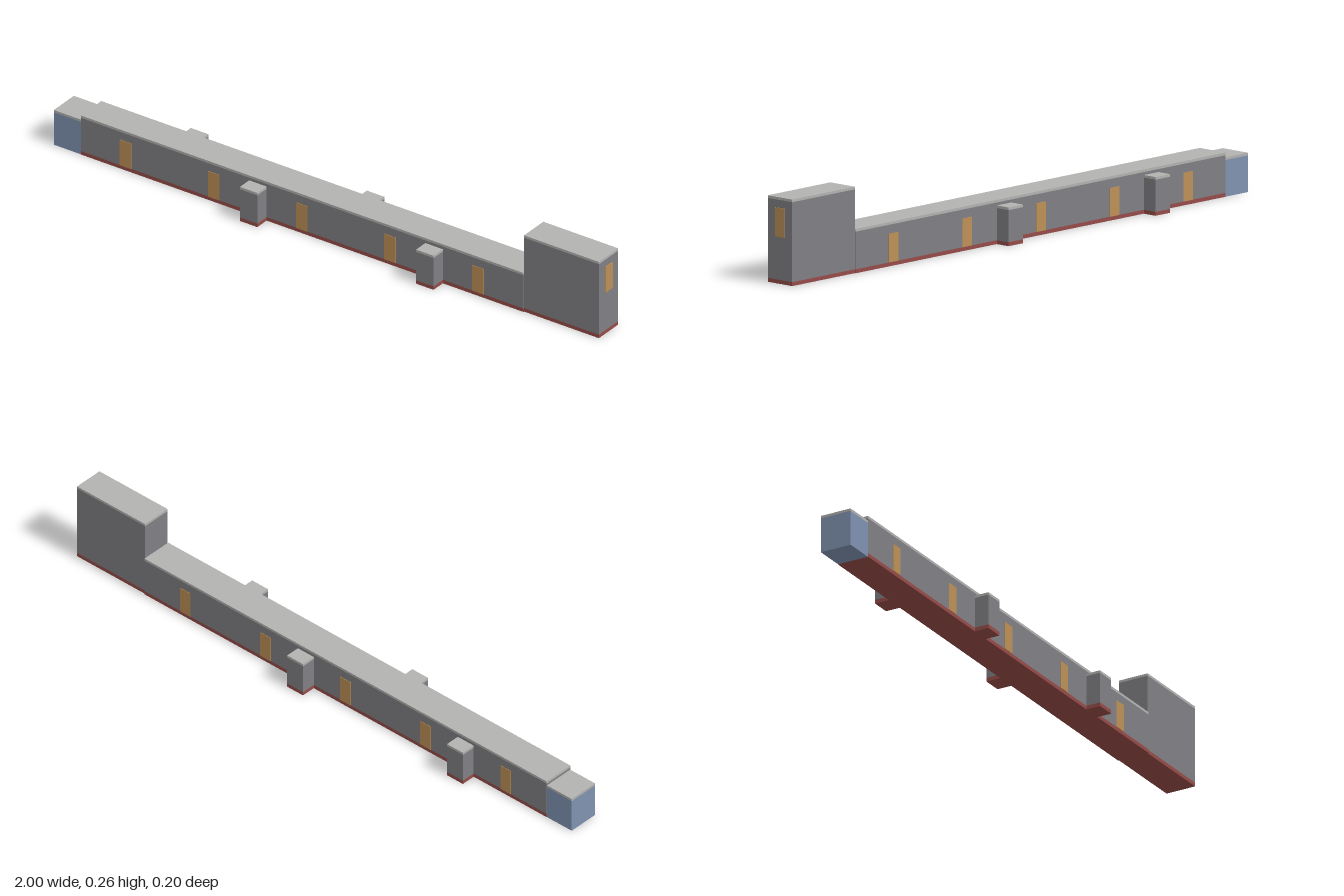
import * as THREE from 'three';

export function createModel() {
  const model = new THREE.Group();
  const mat = (name, color) => {
    const m = new THREE.MeshStandardMaterial({ color });
    m.name = name;
    return m;
  };
  const wall = mat('wall grey', 0x808084);
  const roof = mat('roof light grey', 0xb2b2b0);
  const door = mat('door amber', 0xbc9056);
  const glass = mat('glass blue', 0x7f92b0);
  const base = mat('base red', 0x964c48);

  // Box given by its minimum and maximum on each axis
  const box = (name, material, x0, x1, y0, y1, z0, z1) => {
    const mesh = new THREE.Mesh(new THREE.BoxGeometry(x1 - x0, y1 - y0, z1 - z0), material);
    mesh.position.set((x0 + x1) / 2, (y0 + y1) / 2, (z0 + z1) / 2);
    mesh.name = name;
    model.add(mesh);
  };

  const BASE = 0.012, CAP = 0.008;
  // Block with a red base strip and a light roof slab
  const block = (name, x0, x1, top, z0, z1) => {
    box(name + 'Base', base, x0, x1, 0, BASE, z0, z1);
    box(name + 'Walls', wall, x0, x1, BASE, top - CAP, z0, z1);
    box(name + 'Roof', roof, x0, x1, top - CAP, top, z0, z1);
  };

  // Long hall and the tall block at its end
  block('hall', -0.9, 0.725, 0.135, -0.053, 0.053);
  block('tower', 0.725, 1, 0.264, -0.05, 0.05);

  // Glazed end room
  box('glassRoom', glass, -1, -0.9, 0, 0.112, -0.052, 0.052);
  box('glassRoomRoof', roof, -1, -0.9, 0.112, 0.12, -0.052, 0.052);

  // Side bays, staggered between front and back
  for (const x of [-0.25, 0.397]) block('frontBay', x - 0.032, x + 0.032, 0.118, 0.053, 0.101);
  for (const x of [-0.573, 0.073]) block('backBay', x - 0.032, x + 0.032, 0.118, -0.101, -0.053);

  // Doors on both long sides
  for (let i = 0; i < 5; i++) {
    const x = -0.735 + i * 0.3235;
    for (const s of [-1, 1]) {
      box('door', door, x - 0.021, x + 0.021, BASE, 0.1, s * 0.053 - 0.0015, s * 0.053 + 0.0015);
    }
  }

  // Window in the tower's end wall
  box('towerWindow', door, 0.999, 1.002, 0.143, 0.232, -0.019, 0.019);

  return model;
}
